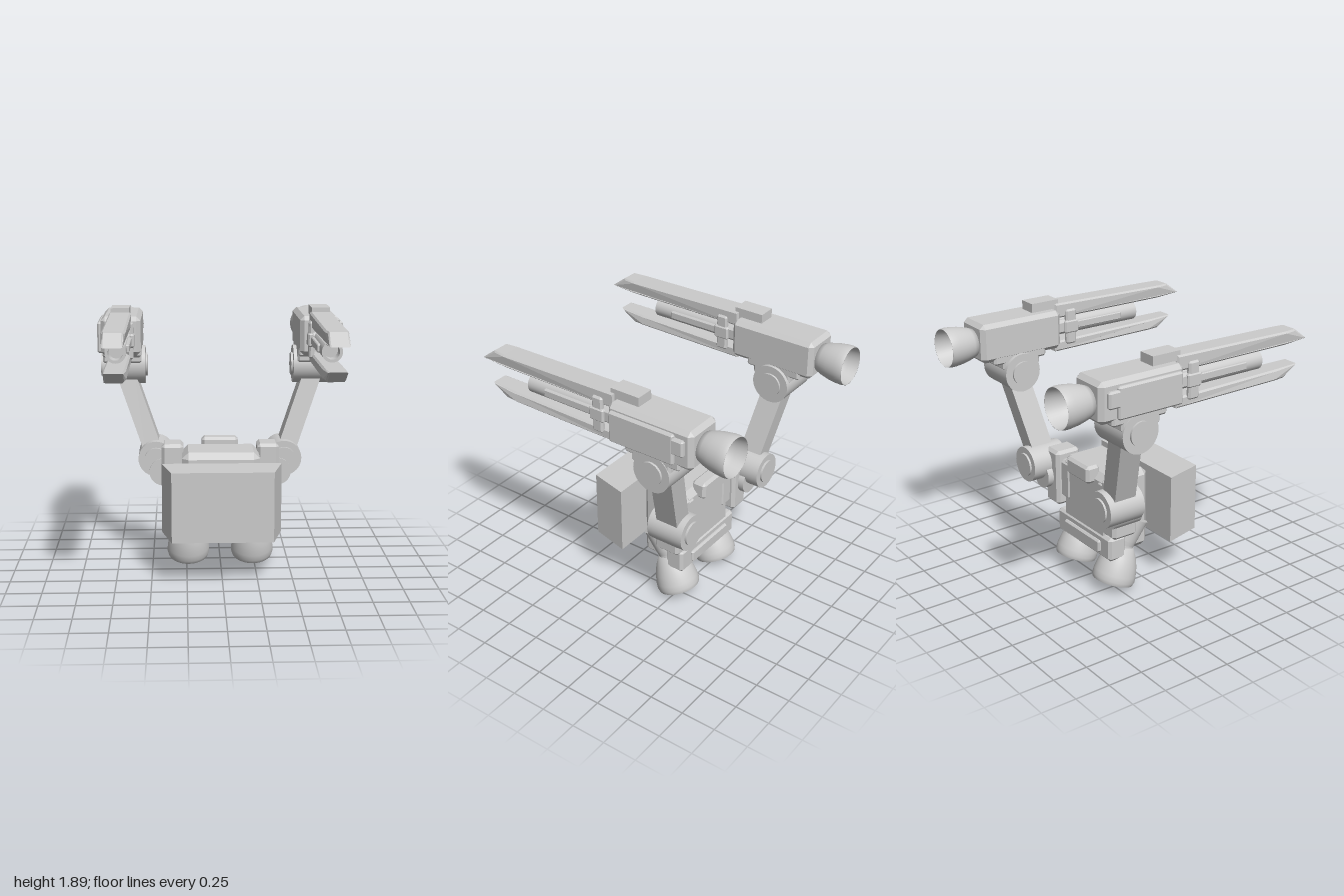
import * as THREE from 'three';
import { ConvexGeometry } from 'three/addons/geometries/ConvexGeometry.js';

const grey = new THREE.MeshStandardMaterial({ color: 0xcccccc, side: THREE.DoubleSide });
grey.name = 'light grey';

function add(group, name, geometry, x = 0, y = 0, z = 0) {
  const mesh = new THREE.Mesh(geometry, grey);
  mesh.name = name;
  mesh.position.set(x, y, z);
  group.add(mesh);
  return mesh;
}

// Box with every edge and corner cut off by c
function chamferBox(w, h, d, c) {
  const points = [];
  for (const sx of [-1, 1]) for (const sy of [-1, 1]) for (const sz of [-1, 1]) {
    const x = w / 2, y = h / 2, z = d / 2;
    points.push(
      new THREE.Vector3(sx * x, sy * (y - c), sz * (z - c)),
      new THREE.Vector3(sx * (x - c), sy * y, sz * (z - c)),
      new THREE.Vector3(sx * (x - c), sy * (y - c), sz * z));
  }
  return new ConvexGeometry(points);
}

// Chamfered box given by its extents; x is measured from the centre cx
function block(group, name, cx, hw, y0, y1, z0, z1, c) {
  return add(group, name, chamferBox(hw * 2, y1 - y0, z1 - z0, c), cx, (y0 + y1) / 2, (z0 + z1) / 2);
}

const cylX = (r, len) => new THREE.CylinderGeometry(r, r, len, 40).rotateZ(Math.PI / 2);
const cylZ = (r, len) => new THREE.CylinderGeometry(r, r, len, 40).rotateX(Math.PI / 2);

// Hollow rocket bell, rim at y = 0, neck upward
function bell(rim, neck, height) {
  const mix = t => neck + (rim - neck) * t;
  const outer = [[mix(0.9), 0], [rim, 0.1], [mix(0.97), 0.25], [mix(0.8), 0.5], [mix(0.48), 0.75], [neck, 1]];
  const inner = [[0, 0.85], [neck * 0.8, 0.82], [mix(0.4), 0.6], [mix(0.68), 0.3], [mix(0.86), 0]];
  const points = [...inner, ...outer, [0, 1]].map(([r, h]) => new THREE.Vector2(r, h * height));
  return new THREE.LatheGeometry(points, 40);
}

// Long rail with a slanted tip, from a side profile of [z, y] points
function blade(profile, width, taperZ) {
  const shape = new THREE.Shape(profile.map(p => new THREE.Vector2(...p)));
  const b = 0.012;
  const geo = new THREE.ExtrudeGeometry(shape, {
    depth: width - 2 * b, bevelEnabled: true, bevelSize: b, bevelThickness: b, bevelOffset: -b, bevelSegments: 1,
  });
  geo.translate(0, 0, b - width / 2).rotateY(-Math.PI / 2);
  const p = geo.attributes.position;
  for (let i = 0; i < p.count; i++) if (p.getZ(i) > taperZ) p.setX(i, p.getX(i) * 0.86);
  geo.computeVertexNormals();
  return geo;
}

function buildTorso() {
  const g = new THREE.Group();
  g.name = 'torso';
  block(g, 'torsoCore', 0, 0.28, 0.27, 0.88, -0.33, 0.04, 0.045);
  block(g, 'neckBlock', 0, 0.133, 0.8, 0.93, -0.39, -0.28, 0.02);
  block(g, 'backBelt', 0, 0.33, 0.26, 0.44, -0.34, -0.2, 0.02);
  block(g, 'backBeltPlate', 0, 0.22, 0.3, 0.39, -0.36, -0.32, 0.012);
  // Tapered shield floating ahead of the chest
  const shield = new THREE.BoxGeometry(0.85, 0.5, 0.28);
  const p = shield.attributes.position;
  for (let i = 0; i < p.count; i++) if (p.getZ(i) > 0) p.setX(i, p.getX(i) * 0.835);
  shield.computeVertexNormals();
  add(g, 'frontShield', shield, 0, 0.58, 0.26);
  return g;
}

function buildLeg(s) {
  const g = new THREE.Group();
  g.name = s > 0 ? 'leftLeg' : 'rightLeg';
  const x = s * 0.237;
  add(g, 'hip', new THREE.CylinderGeometry(0.115, 0.095, 0.17, 40), x, 0.44, -0.117).rotation.x = 0.48;
  add(g, 'ankleRing', new THREE.CylinderGeometry(0.092, 0.085, 0.05, 40), x, 0.355, -0.155).rotation.x = 0.4;
  add(g, 'ankle', new THREE.CylinderGeometry(0.08, 0.08, 0.08, 40), x, 0.33, -0.16).rotation.x = 0.36;
  add(g, 'footThruster', bell(0.156, 0.08, 0.27), x, 0.06, -0.252).rotation.x = 0.332;
  return g;
}

function buildArm(s) {
  const g = new THREE.Group();
  g.name = s > 0 ? 'leftArm' : 'rightArm';
  block(g, 'shoulderBlock', s * 0.35, 0.08, 0.48, 0.9, -0.375, -0.175, 0.022);
  block(g, 'shoulderLink', s * 0.25, 0.08, 0.55, 0.84, -0.34, -0.2, 0.02);
  add(g, 'lowerShoulderJoint', cylZ(0.1, 0.22), s * 0.42, 0.69, -0.31);
  add(g, 'shoulderJoint', cylZ(0.13, 0.28), s * 0.47, 0.78, -0.38);
  add(g, 'shoulderCap', cylZ(0.085, 0.32), s * 0.47, 0.78, -0.375);
  // Slanted upper arm
  const arm = new THREE.BoxGeometry(0.14, 0.64, 0.17);
  const p = arm.attributes.position;
  for (let i = 0; i < p.count; i++) {
    const y = p.getY(i);
    p.setXYZ(i, p.getX(i) + s * 0.351 * y, y, p.getZ(i) - 0.15 * y);
  }
  arm.computeVertexNormals();
  add(g, 'upperArm', arm, s * 0.588, 1.105, -0.42);
  add(g, 'elbow', cylX(0.14, 0.31), s * 0.7, 1.45, -0.47);
  add(g, 'elbowCap', cylX(0.085, 0.34), s * 0.7, 1.45, -0.47);
  return g;
}

function buildCannon(s) {
  const g = new THREE.Group();
  g.name = s > 0 ? 'leftCannon' : 'rightCannon';
  const x = s * 0.71, y = 1.69;
  block(g, 'cannonBody', x, 0.142, 1.56, 1.84, -0.775, -0.12, 0.03);
  block(g, 'mountUpper', x, 0.14, 1.53, 1.62, -0.68, -0.255, 0.015);
  block(g, 'mountLower', x, 0.14, 1.48, 1.58, -0.61, -0.31, 0.015);
  block(g, 'sidePanel', s * 0.855, 0.022, 1.58, 1.8, -0.65, -0.15, 0.012);
  block(g, 'sidePanelTab', s * 0.855, 0.025, 1.665, 1.78, -0.725, -0.63, 0.012);
  add(g, 'sight', new THREE.BoxGeometry(0.13, 0.09, 0.22), x, 1.86, -0.21);
  add(g, 'rearThruster', bell(0.14, 0.09, 0.25).rotateX(Math.PI / 2), x, y, -1);

  // Barrel with a bored muzzle
  const barrel = [[0.07, -0.15], [0.07, 0.6], [0.05, 0.6], [0.05, 0.5], [0, 0.5]];
  add(g, 'barrel', new THREE.LatheGeometry(barrel.flatMap(([r, h], i) => i % 4 ? [
    new THREE.Vector2(r, h), new THREE.Vector2(r, h)] : [new THREE.Vector2(r, h)]), 40)
    .rotateX(Math.PI / 2), x, y, 0);
  block(g, 'barrelSleeve', x, 0.085, 1.64, 1.745, -0.14, 0.06, 0.02);
  for (const side of [-1, 1]) {
    block(g, 'barrelRail', x + side * 0.07, 0.015, 1.665, 1.72, 0.04, 0.45, 0.006);
    block(g, 'collarPlate', x + side * 0.075, 0.02, 1.56, 1.82, -0.045, 0.04, 0.012);
    block(g, 'collarEar', x + side * 0.085, 0.018, 1.645, 1.74, -0.06, 0.055, 0.01);
  }

  // Twin blades above and below the barrel
  add(g, 'upperBlade', blade([[-0.13, 1.765], [0.8, 1.767], [1, 1.777], [0.89, 1.86], [0.8, 1.86], [-0.13, 1.874]], 0.156, 0.84), x);
  add(g, 'lowerBlade', blade([[-0.13, 1.515], [0.72, 1.525], [0.81, 1.526], [0.925, 1.607], [0.72, 1.604], [-0.13, 1.59]], 0.15, 0.76), x);
  return g;
}

export function createModel() {
  const model = new THREE.Group();
  model.name = 'thrusterRobot';
  model.add(buildTorso());
  for (const s of [-1, 1]) model.add(buildLeg(s), buildArm(s), buildCannon(s));
  return model;
}
